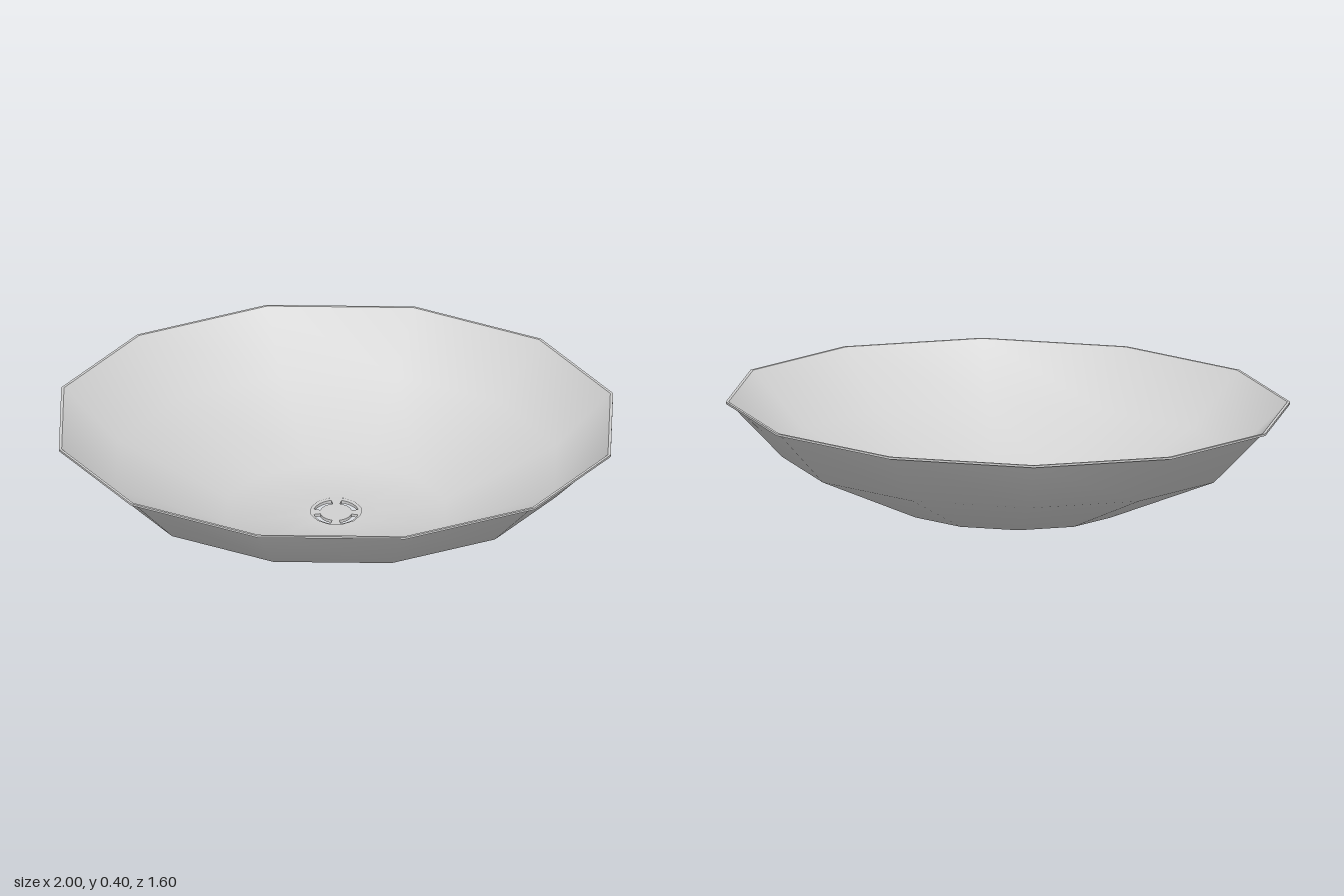
import * as THREE from 'three';
import { mergeVertices } from 'three/addons/utils/BufferGeometryUtils.js';

const SIDES = 12;
const C = Math.cos(Math.PI / SIDES);

// Twelve-sided oval shell from [half width, height] pairs; it stays round near the drain
function ovalShell(profile) {
  const pts = profile.map(([x, y]) => new THREE.Vector2(x / C, y));
  let geo = new THREE.LatheGeometry(pts, SIDES, Math.PI / SIDES);
  const p = geo.attributes.position;
  for (let i = 0; i < p.count; i++) {
    if (Math.hypot(p.getX(i), p.getZ(i)) > 0.2) p.setZ(i, p.getZ(i) * 0.8);
  }
  geo.deleteAttribute('uv');
  geo.deleteAttribute('normal');
  geo = mergeVertices(geo, 1e-4);
  geo.computeVertexNormals();
  return geo;
}

// Curved slot between two radii, centred on angle a
function slot(r0, r1, a, half) {
  const path = new THREE.Path();
  path.absarc(0, 0, r1, a - half, a + half, false);
  path.absarc(0, 0, r0, a + half, a - half, true);
  path.closePath();
  return path;
}

export function createModel() {
  const group = new THREE.Group();
  const ceramic = new THREE.MeshStandardMaterial({ color: 0xd0d0d0 });
  ceramic.name = 'lightGreyCeramic';

  const add = (name, geo) => {
    const mesh = new THREE.Mesh(geo, ceramic);
    mesh.name = name;
    group.add(mesh);
  };

  // Bowl walls
  add('outerBowl', ovalShell([[0.09, 0.01], [0.4, 0.01], [0.8, 0.19], [0.985, 0.39]]));
  add('innerBowl', ovalShell([[0.99, 0.398], [0.795, 0.2], [0.395, 0.018], [0.09, 0.016]]));

  // Thin lip around the top edge
  add('lipUnderside', ovalShell([[0.985, 0.39], [1, 0.39]]));
  add('lipEdge', ovalShell([[1, 0.39], [1, 0.398]]));
  add('lipTop', ovalShell([[1, 0.398], [0.99, 0.398]]));

  // Round drain plate with four curved slots
  const plate = new THREE.Shape();
  plate.absarc(0, 0, 0.098, 0, Math.PI * 2, false);
  for (let i = 0; i < 4; i++) {
    plate.holes.push(slot(0.058, 0.082, Math.PI / 4 + i * Math.PI / 2, 0.56));
  }
  const drain = new THREE.ExtrudeGeometry(plate, { depth: 0.012, bevelEnabled: false, curveSegments: 20 });
  drain.rotateX(-Math.PI / 2);
  add('drainPlate', drain);

  return group;
}
